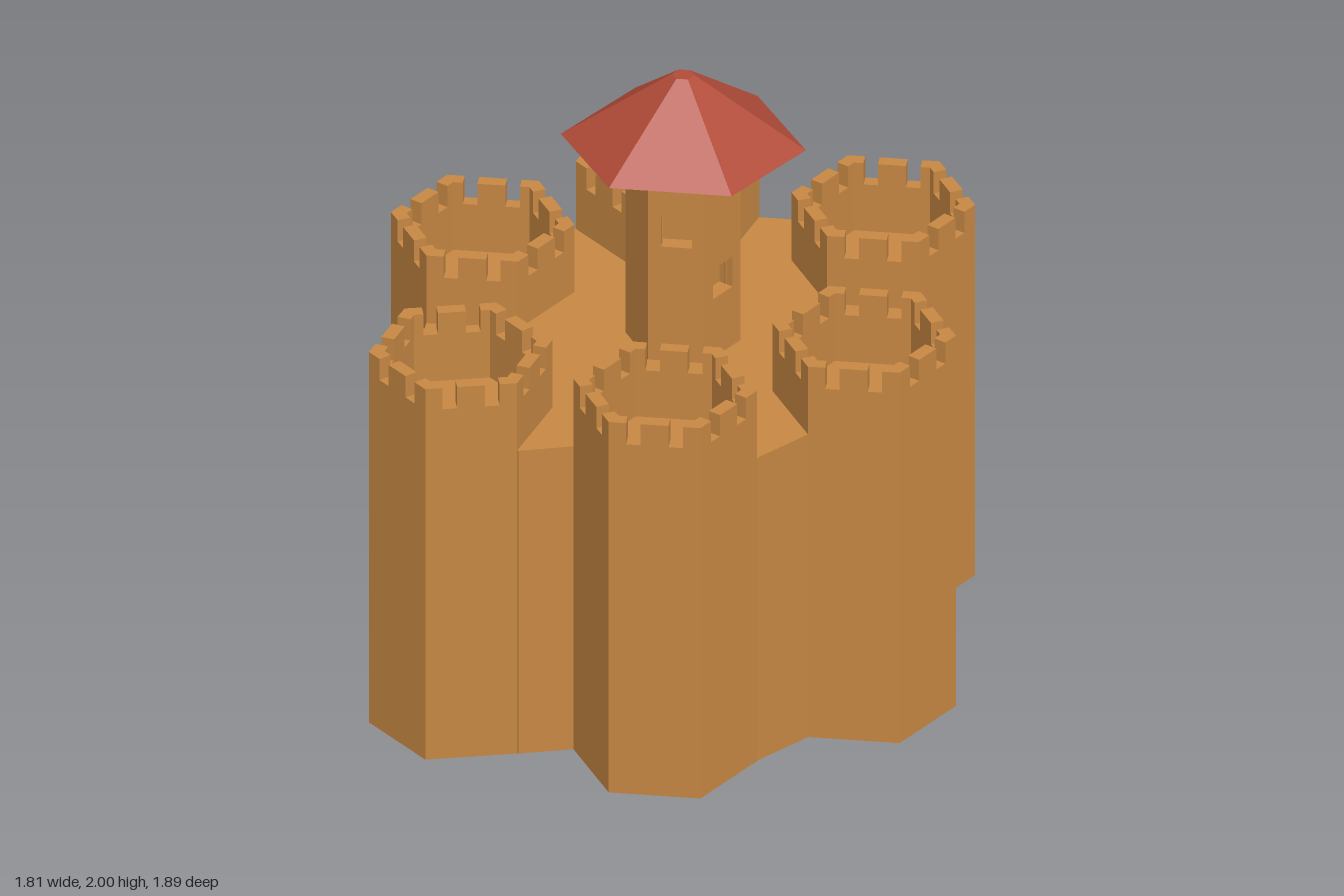
import * as THREE from 'three';

const stone = new THREE.MeshStandardMaterial({ color: 0xc68743 });
stone.name = 'tan stone';
const tile = new THREE.MeshStandardMaterial({ color: 0xb24b39 });
tile.name = 'red roof tile';

const WALL_Y = 1.075, TOP_Y = 1.315, NOTCH_Y = 1.24;
const COS30 = Math.cos(Math.PI / 6);

function add(parent, name, geometry, material = stone) {
  const mesh = new THREE.Mesh(geometry, material);
  mesh.name = name;
  parent.add(mesh);
  return mesh;
}

// Flat-sided hexagonal frustum with corners on the x axis
function hex(rTop, rBottom, y0, y1) {
  const g = new THREE.CylinderGeometry(rTop, rBottom, y1 - y0, 6, 1, false, Math.PI / 6).toNonIndexed();
  g.computeVertexNormals();
  return g.translate(0, (y0 + y1) / 2, 0);
}

// Upright slab forming one side of a hexagon, facing outward at turn k
function sidePanel(shape, radius, thickness, k) {
  return new THREE.ExtrudeGeometry(shape, { depth: thickness, bevelEnabled: false })
    .translate(0, 0, radius * COS30 - thickness)
    .rotateY(k * Math.PI / 3);
}

const rectPoints = (x0, x1, y0, y1) => [[x0, y0], [x1, y0], [x1, y1], [x0, y1]].map(p => new THREE.Vector2(...p));

// Parapet side with two notches
function parapetShape(side) {
  const h = side / 2, near = 0.043, far = 0.088;
  return new THREE.Shape([
    [-h, WALL_Y], [h, WALL_Y], [h, TOP_Y],
    [far, TOP_Y], [far, NOTCH_Y], [near, NOTCH_Y], [near, TOP_Y],
    [-near, TOP_Y], [-near, NOTCH_Y], [-far, NOTCH_Y], [-far, TOP_Y], [-h, TOP_Y],
  ].map(p => new THREE.Vector2(...p)));
}

function outerTower(x, z, turn) {
  const g = new THREE.Group(), r = 0.283;
  g.name = 'outerTower';
  add(g, 'towerBody', hex(r, r, 0, WALL_Y));
  for (let k = 0; k < 6; k++) add(g, 'parapet', sidePanel(parapetShape(r), r, 0.042, k));
  g.position.set(x, 0, z);
  g.rotation.y = turn;
  return g;
}

function keep() {
  const g = new THREE.Group(), r = 0.177, depth = 0.05, y1 = 1.7;
  g.name = 'keep';
  // Window centre height for each windowed side
  const windows = { 0: 1.532, 1: 1.337, 4: 1.435 };
  for (let k = 0; k < 6; k++) {
    const shape = new THREE.Shape(rectPoints(-r / 2, r / 2, WALL_Y, y1));
    const y = windows[k];
    if (y) shape.holes.push(new THREE.Path(rectPoints(-0.048, 0.048, y - 0.053, y + 0.053)));
    add(g, 'keepWall', sidePanel(shape, r, depth, k));
  }
  const core = r - depth / COS30;
  add(g, 'keepCore', hex(core, core, WALL_Y, y1));
  add(g, 'keepCorbel', hex(0.22, 0.185, 1.685, 1.708));
  add(g, 'keepCrown', hex(0.22, 0.22, 1.708, 1.762));
  const roof = add(g, 'roof', hex(0.035, 0.378, 1.76, 2), tile);
  roof.scale.z = 0.93;
  roof.position.z = -0.007;
  g.position.set(0.023, 0, -0.005);
  return g;
}

export function createModel() {
  const model = new THREE.Group();
  model.name = 'castle';

  // Courtyard block spanning between the towers (x, z outline)
  const outline = [
    [0.34, 0.695], [0.48, 0.53], [0.76, 0.04], [0.715, -0.26], [0.435, -0.745], [0.16, -0.745],
    [-0.385, -0.605], [-0.485, -0.47], [-0.765, 0.02], [-0.78, 0.34], [-0.385, 0.745], [-0.22, 0.695],
  ].map(([x, z]) => new THREE.Vector2(x, -z));
  add(model, 'courtyard', new THREE.ExtrudeGeometry(new THREE.Shape(outline), { depth: WALL_Y, bevelEnabled: false })
    .rotateX(-Math.PI / 2));

  // Outer ring of six towers, two of them turned
  const turn = Math.PI / 12;
  const towers = [
    [0.06, 0.695, 0], [0.62, 0.285, 0], [0.575, -0.502, 0],
    [-0.113, -0.675, turn], [-0.624, -0.225, 0], [-0.59, 0.545, turn],
  ];
  for (const t of towers) model.add(outerTower(...t));

  model.add(keep());
  return model;
}
